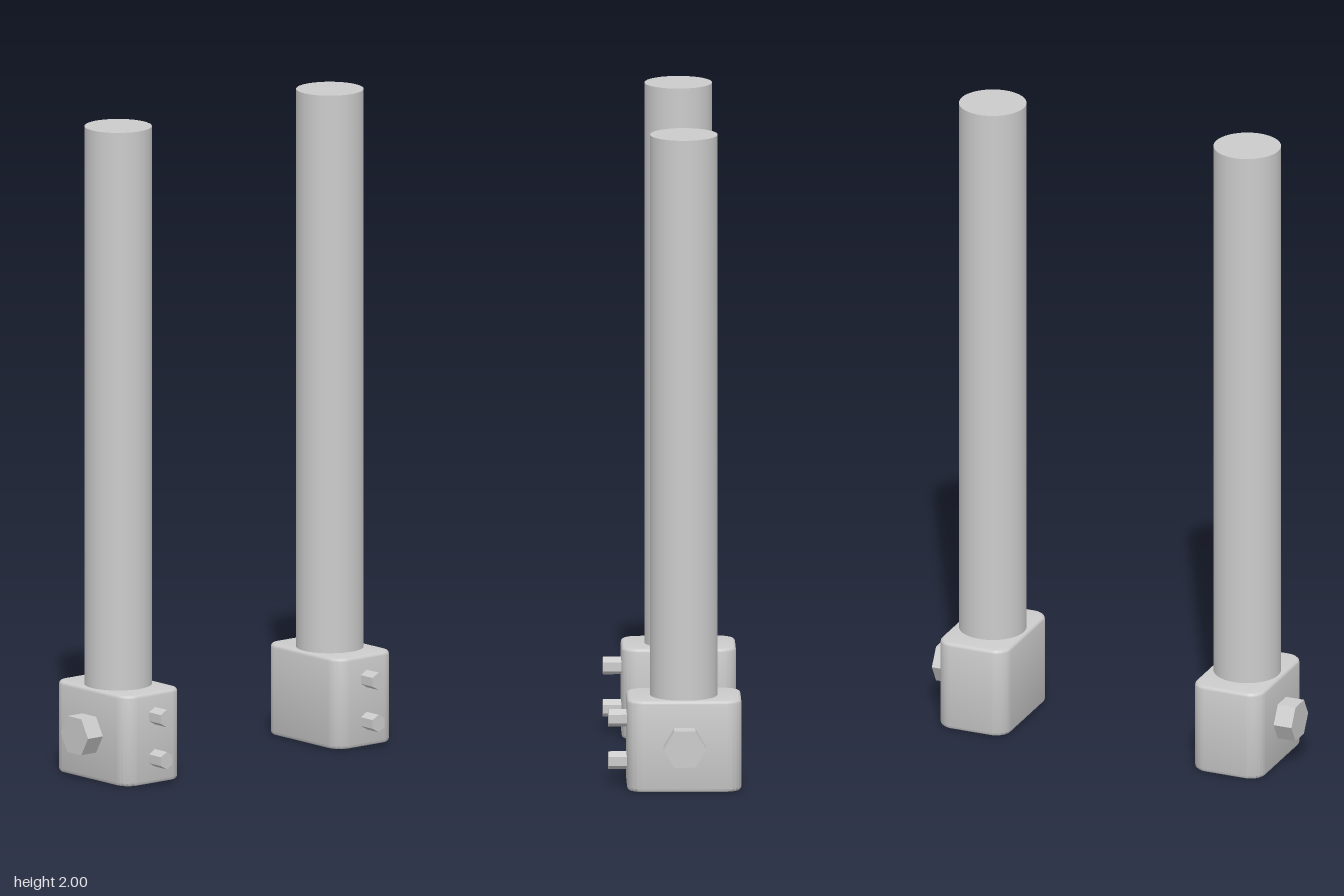
import * as THREE from 'three';
import { toCreasedNormals } from 'three/addons/utils/BufferGeometryUtils.js';

const material = new THREE.MeshStandardMaterial({ color: 0xcccccc });
const boltMaterial = new THREE.MeshStandardMaterial({ color: 0xcccccc, flatShading: true });

function addMesh(parent, name, geometry, mat, x, y, z) {
  const mesh = new THREE.Mesh(geometry, mat);
  mesh.name = name;
  mesh.position.set(x, y, z);
  parent.add(mesh);
}

// Upright block with rounded corners and softened top and bottom edges
function clampGeometry(width, height, depth, radius, bevel) {
  const w = width / 2 - bevel, d = depth / 2 - bevel, r = radius - bevel;
  const shape = new THREE.Shape();
  shape.absarc(w - r, d - r, r, 0, Math.PI / 2);
  shape.absarc(r - w, d - r, r, Math.PI / 2, Math.PI);
  shape.absarc(r - w, r - d, r, Math.PI, Math.PI * 1.5);
  shape.absarc(w - r, r - d, r, Math.PI * 1.5, Math.PI * 2);
  shape.closePath();
  const geometry = new THREE.ExtrudeGeometry(shape, {
    depth: height - 2 * bevel, bevelThickness: bevel, bevelSize: bevel,
    bevelSegments: 3, curveSegments: 8,
  });
  geometry.translate(0, 0, bevel).rotateX(-Math.PI / 2);
  return toCreasedNormals(geometry, 0.6);
}

export function createModel() {
  const model = new THREE.Group();
  const clamp = clampGeometry(0.228, 0.28, 0.345, 0.05, 0.01);
  const post = new THREE.CylinderGeometry(0.102, 0.102, 1.74, 64);
  const sideBolt = new THREE.CylinderGeometry(0.064, 0.064, 0.075, 6).rotateZ(Math.PI / 2);
  const frontBolt = new THREE.CylinderGeometry(0.027, 0.027, 0.08, 6).rotateX(Math.PI / 2);

  for (const side of [1, -1]) {
    const leg = new THREE.Group();
    leg.name = side > 0 ? 'leftLeg' : 'rightLeg';
    leg.position.set(side * 0.418, 0, -0.029);
    // Post standing in its clamp block
    addMesh(leg, 'clampBlock', clamp, material, 0, 0, 0);
    addMesh(leg, 'post', post, material, 0, 1.13, 0);
    // Large hex bolt on the outer side, two small ones on the front
    addMesh(leg, 'sideBolt', sideBolt, boltMaterial, side * 0.135, 0.143, 0);
    for (const y of [0.079, 0.209]) {
      addMesh(leg, 'frontBolt', frontBolt, boltMaterial, 0, y, 0.188);
    }
    model.add(leg);
  }
  return model;
}
